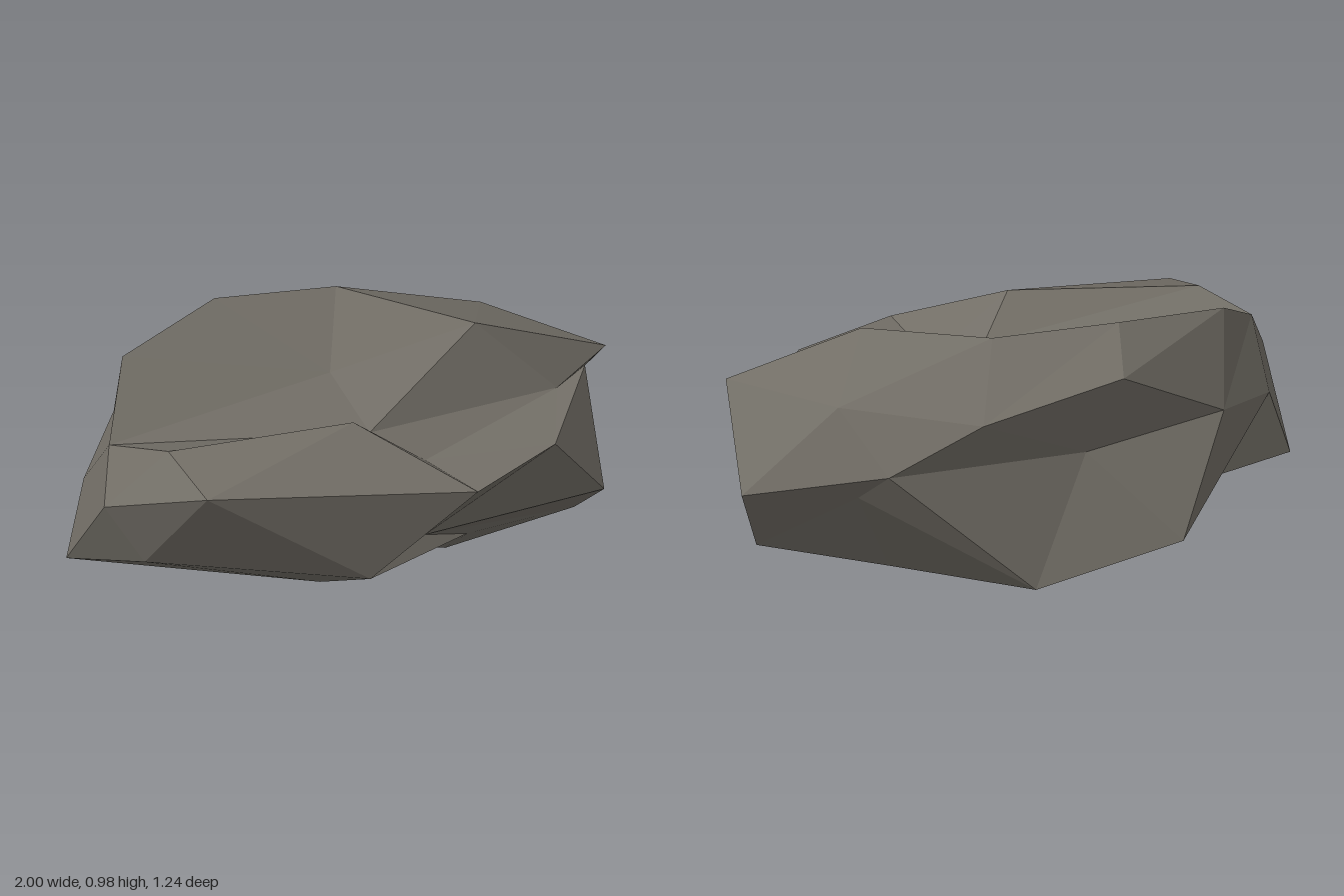
import * as THREE from 'three';

// Corner points of the boulder, grouped from the crown down to the base
const P = {
  // crown: dented middle and its rim
  G: [-0.02, 0.765, -0.10],
  A: [-0.30, 0.98, -0.41], B: [0.13, 0.955, -0.33], C: [0.48, 0.885, 0.02],
  H: [-0.02, 0.66, 0.18], F: [-0.91, 0.73, -0.05], E: [-0.72, 0.91, -0.30],
  // shoulder
  X: [-0.26, 0.85, -0.575], W: [0.24, 0.74, -0.55], V: [0.68, 0.77, -0.305],
  D: [0.94, 0.725, 0.11], n: [0.75, 0.61, 0.11], L: [0.13, 0.57, 0.30],
  M: [-0.15, 0.785, 0.30], N: [-0.79, 0.765, 0.15], P: [-0.99, 0.56, 0.06],
  b: [-0.91, 0.52, -0.23], a: [-0.66, 0.61, -0.47],
  // waist
  c: [-0.16, 0.535, -0.47], U: [0.56, 0.565, -0.485], Q: [1.0, 0.445, -0.22],
  I: [0.90, 0.625, 0.035], J: [0.55, 0.60, 0.46], K: [0.16, 0.585, 0.62],
  O: [-0.77, 0.68, 0.39], i: [-0.86, 0.34, 0.11], d: [-1.0, 0.255, -0.19],
  Y: [-0.46, 0.215, -0.62],
  // base
  Z: [0.05, 0.08, -0.55], e: [0.62, 0.43, -0.34], S: [0.85, 0.10, 0.05],
  R: [0.76, 0.36, 0.425], g: [0.19, 0.22, 0.19], h: [-0.18, 0.27, 0.475],
  f: [-0.20, 0.12, 0.155], m: [-0.29, 0.14, -0.20], j: [0.41, 0.125, 0.09],
  T: [0.41, 0, -0.065],
};

// Closed bands of facets: an upper and a lower loop, paired letter by letter.
// A repeated letter makes a triangle instead of a quad.
const bands = [
  ['GGGGGG', 'ABCHFE'],
  ['AABBCCCHHHHFFFFEE', 'XWWVVDnnLMNNPbaaX'],
  ['XWWVVDDnnLLMMNPPPbbbaa', 'ccUUQQIIJJKKOOOiddmYYc'],
  ['cUUQQQIJJKKOiiddmYY', 'ZZeeSRRRgghhhffmmmZ'],
  ['ZeSRgghfmm', 'ZeSSSjjjjm'],
  ['ZeSjm', 'TTTTT'],
];

function bandFaces(upper, lower, out) {
  const add = (p, q, r) => {
    if (p !== q && q !== r && p !== r) out.push(...P[p], ...P[q], ...P[r]);
  };
  for (let k = 0; k < upper.length; k++) {
    const next = (k + 1) % upper.length;
    add(upper[k], upper[next], lower[k]);
    add(upper[next], lower[next], lower[k]);
  }
}

export function createModel() {
  const group = new THREE.Group();
  group.name = 'boulder';

  const stone = new THREE.MeshStandardMaterial({ color: 0x726e66 });
  stone.name = 'grey stone';
  stone.flatShading = true;

  // Faceted stone skin, unshared corners for hard edges
  const corners = [];
  for (const [upper, lower] of bands) bandFaces(upper, lower, corners);
  const geometry = new THREE.BufferGeometry();
  geometry.setAttribute('position', new THREE.Float32BufferAttribute(corners, 3));
  geometry.computeVertexNormals();

  const rock = new THREE.Mesh(geometry, stone);
  rock.name = 'rock';
  group.add(rock);
  return group;
}
